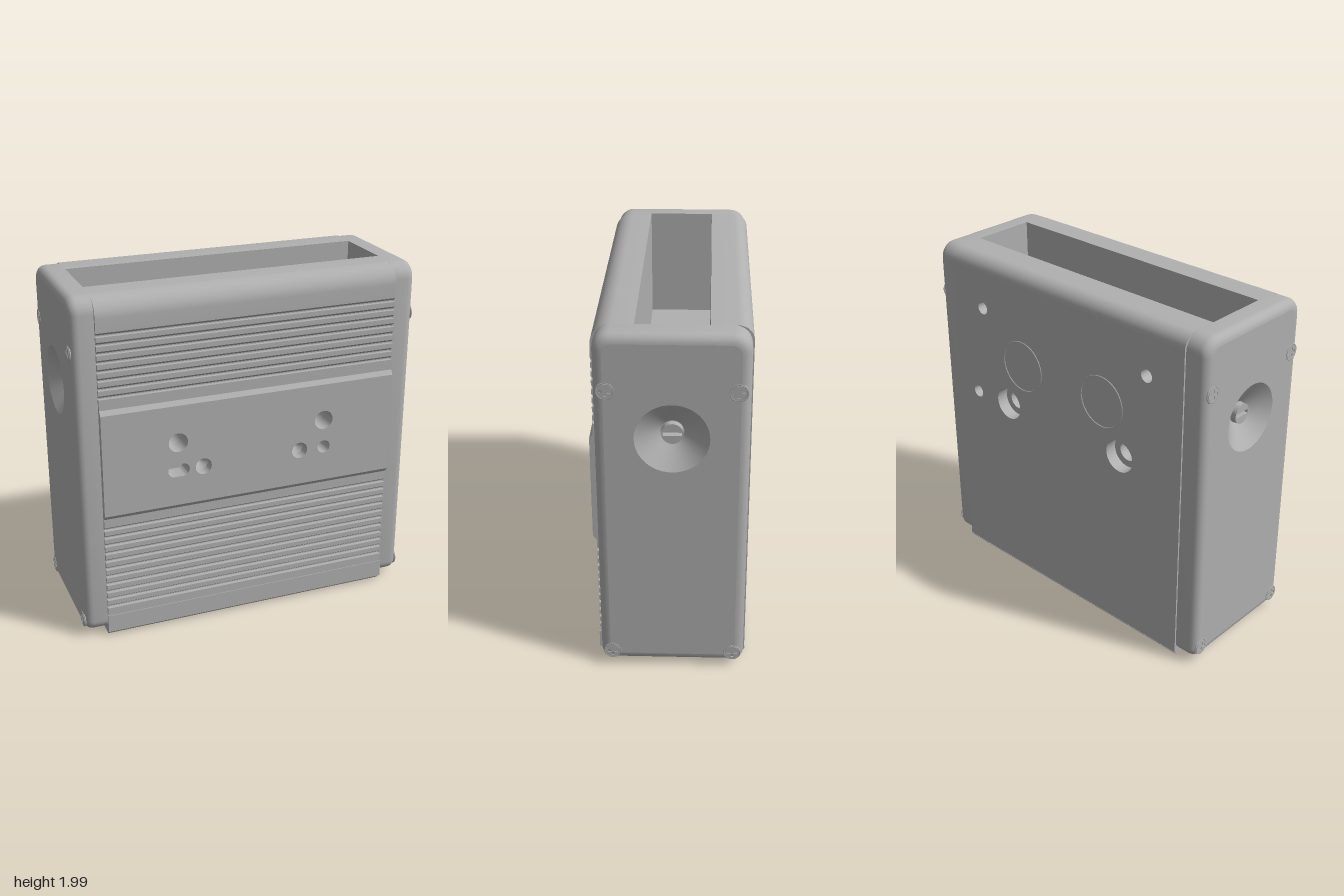
import * as THREE from 'three';
import { toCreasedNormals } from 'three/addons/utils/BufferGeometryUtils.js';

const grey = new THREE.MeshStandardMaterial({ color: 0xb0b0b0, side: THREE.DoubleSide });
grey.name = 'grey';

const HALF = 0.862; // half width of the centre block

function add(parent, name, geometry) {
  const mesh = new THREE.Mesh(geometry, grey);
  mesh.name = name;
  parent.add(mesh);
  return mesh;
}

const polygon = (points) => new THREE.Shape(points.map(([x, y]) => new THREE.Vector2(x, y)));
const rect = (x0, y0, x1, y1) => polygon([[x0, y0], [x1, y0], [x1, y1], [x0, y1]]);
const circle = (x, y, r) => new THREE.Path().absarc(x, y, r, 0, Math.PI * 2);

function extrude(shape, depth) {
  return toCreasedNormals(
    new THREE.ExtrudeGeometry(shape, { depth, bevelEnabled: false, curveSegments: 18 }), 0.5);
}

// Profile of [z, y] points swept across the width
function acrossX(points) {
  return extrude(polygon(points.map(([z, y]) => [-z, y])), HALF * 2)
    .rotateY(Math.PI / 2).translate(-HALF, 0, 0);
}

// Outline in x, y with holes, running from z0 to z1
function alongZ(shape, holes, z0, z1) {
  shape.holes.push(...holes);
  return extrude(shape, z1 - z0).translate(0, 0, z0);
}

function arc(cz, cy, r, a0, a1, n = 10) {
  return Array.from({ length: n + 1 }, (_, i) => {
    const a = a0 + (a1 - a0) * i / n;
    return [cz + r * Math.cos(a), cy + r * Math.sin(a)];
  });
}

// Horizontal louvre grooves, listed upward
function grooves(first, count) {
  const points = [];
  for (let i = 0; i < count; i++) {
    const y = first + i * 0.0488;
    points.push([0.39, y - 0.01], [0.368, y - 0.01], [0.368, y - 0.004], [0.39, y + 0.012]);
  }
  return points;
}

// Rounded outline of a side cover, drawn in by an inset
function coverOutline(inset) {
  const w = 0.389 - inset, y0 = 0.035 + inset, y1 = 1.99 - inset;
  const rt = 0.09 - inset * 0.8, rb = 0.06 - inset * 0.8;
  const q = Math.PI / 2;
  return [
    ...arc(w - rb, y0 + rb, rb, -q, 0, 6), ...arc(w - rt, y1 - rt, rt, 0, q, 6),
    ...arc(-w + rt, y1 - rt, rt, q, 2 * q, 6), ...arc(-w + rb, y0 + rb, rb, 2 * q, 3 * q, 6),
  ];
}

// Side cover with a rounded outer edge, a conical dimple and screws; it faces +z before turning
function sideCover() {
  const cover = new THREE.Group();
  const outer = 0.992, round = 0.05, dimpleY = 1.43;
  const stations = [[0.86, 0]];
  for (let i = 0; i <= 6; i++) {
    const a = i / 6 * Math.PI / 2;
    stations.push([outer - round + round * Math.sin(a), round * (1 - Math.cos(a))]);
  }
  const rings = stations.map(([d, inset]) => coverOutline(inset).map(([u, y]) => [u, y, d]));
  const position = [];
  for (let k = 0; k < rings.length - 1; k++) {
    const n = rings[k].length;
    for (let i = 0; i < n; i++) {
      const j = (i + 1) % n;
      const [a, b, c, d] = [rings[k][i], rings[k][j], rings[k + 1][j], rings[k + 1][i]];
      position.push(...a, ...b, ...c, ...a, ...c, ...d);
    }
  }
  const shell = new THREE.BufferGeometry();
  shell.setAttribute('position', new THREE.Float32BufferAttribute(position, 3));
  add(cover, 'coverEdge', toCreasedNormals(shell, 0.6));

  const face = polygon(coverOutline(round));
  face.holes.push(circle(0, dimpleY, 0.19));
  add(cover, 'coverFace', new THREE.ShapeGeometry(face, 24).translate(0, 0, outer));
  add(cover, 'coverInside',
    new THREE.ShapeGeometry(polygon(coverOutline(0).reverse())).rotateY(Math.PI).translate(0, 0, 0.86));

  // Dimple with a slotted screw
  add(cover, 'dimple', new THREE.CylinderGeometry(0.19, 0.06, 0.09, 48, 1, true)
    .rotateX(Math.PI / 2).translate(0, dimpleY, outer - 0.045));
  add(cover, 'dimpleFloor', new THREE.CircleGeometry(0.062, 32).translate(0, dimpleY, outer - 0.09));
  const slotted = new THREE.Shape().absarc(0, 0, 0.056, 0, Math.PI * 2);
  slotted.holes.push(rect(-0.048, -0.011, 0.048, 0.011));
  add(cover, 'slottedScrew', extrude(slotted, 0.035).translate(0, dimpleY, outer - 0.09));

  // Cross-head screws at the corners
  const a = 0.008, b = 0.028;
  const crossHead = new THREE.Shape().absarc(0, 0, 0.04, 0, Math.PI * 2);
  crossHead.holes.push(polygon([[a, a], [b, a], [b, -a], [a, -a], [a, -b], [-a, -b],
    [-a, -a], [-b, -a], [-b, a], [-a, a], [-a, b], [a, b]]));
  for (const u of [-0.327, 0.327]) {
    for (const y of [0.1, 1.69]) {
      add(cover, 'coverScrew', extrude(crossHead, 0.06).translate(u, y, outer - 0.057));
      add(cover, 'screwRim', new THREE.TorusGeometry(0.044, 0.005, 6, 28).translate(u, y, outer - 0.003));
    }
  }
  return cover;
}

export function createModel() {
  const model = new THREE.Group();
  model.name = 'enclosure';
  const body = new THREE.Group();
  body.name = 'body';
  body.rotation.y = 0.017;
  model.add(body);

  // Lower block with louvres
  add(body, 'lowerBlock', acrossX([[-0.345, 0.028], [0.39, 0.028], ...grooves(0.188, 11),
    [0.39, 0.74], [0.41, 0.765], [-0.345, 0.765]]));

  // Upper front wall with louvres and rounded top edge
  add(body, 'upperFrontWall', acrossX([[0.17, 1.355], [0.41, 1.355], [0.39, 1.38], ...grooves(1.45, 8),
    ...arc(0.28, 1.88, 0.11, 0, Math.PI / 2), [0.17, 1.99]]));

  // Upper back wall with rounded top edge
  add(body, 'upperBackWall', acrossX([[-0.345, 1.355], [-0.2, 1.355], [-0.2, 1.99],
    ...arc(-0.335, 1.91, 0.08, Math.PI / 2, Math.PI), [-0.345, 1.91]]));

  // Middle core, front panel and back plate with their holes
  const through = () => [circle(-0.435, 1.14, 0.055), circle(0.435, 1.14, 0.055)];
  add(body, 'core', alongZ(rect(-HALF, 0.765, HALF, 1.355), through(), -0.345, 0.3));

  const slot = new THREE.Path();
  slot.absarc(-0.41, 0.975, 0.038, -Math.PI / 2, Math.PI / 2);
  slot.absarc(-0.458, 0.975, 0.038, Math.PI / 2, Math.PI * 1.5);
  slot.closePath();
  add(body, 'frontPanel', alongZ(rect(-HALF, 0.765, HALF, 1.355), [...through(), slot,
    circle(-0.29, 0.975, 0.047), circle(0.29, 0.975, 0.047), circle(0.44, 0.975, 0.038)], 0.3, 0.41));
  for (const x of [-0.29, 0.29]) {
    add(body, 'holeBottom', new THREE.CylinderGeometry(0.047, 0.002, 0.04, 28, 1, true)
      .rotateX(Math.PI / 2).translate(x, 0.975, 0.33));
  }

  add(body, 'backPlate', alongZ(rect(-HALF, 0.028, HALF, 1.91), [
    circle(-0.435, 1.14, 0.095), circle(0.435, 1.14, 0.095),
    circle(0.62, 1.69, 0.037), circle(-0.62, 1.69, 0.037), circle(0.7, 1.13, 0.037)], -0.415, -0.345));
  for (const x of [-0.305, 0.305]) {
    add(body, 'backRing', new THREE.TorusGeometry(0.15, 0.004, 6, 48).translate(x, 1.425, -0.415));
  }

  // Foot strip along the lower front
  add(body, 'footStrip', new THREE.BoxGeometry(1.73, 0.105, 0.012).translate(0, 0.0775, 0.388));

  // Two bottom rails with screw holes and sloped edges
  for (const [z0, z1, hz] of [[0.15, 0.365, 0.28], [-0.395, -0.17, -0.27]]) {
    const plate = rect(-HALF, -z1, HALF, -z0);
    plate.holes.push(...[-0.32, 0, 0.32].map((x) => circle(x, -hz, x ? 0.045 : 0.035)));
    add(body, 'bottomRail', extrude(plate, 0.028).rotateX(-Math.PI / 2));
    add(body, 'railEdge', acrossX([[z1, 0], [z1 + 0.022, 0.028], [z1, 0.028]]));
    add(body, 'railEdge', acrossX([[z0, 0], [z0, 0.028], [z0 - 0.022, 0.028]]));
  }

  // Side covers
  for (const side of [1, -1]) {
    const cover = sideCover();
    cover.name = side > 0 ? 'leftCover' : 'rightCover';
    cover.position.z = -0.0165;
    cover.rotation.y = side * Math.PI / 2;
    body.add(cover);
  }
  return model;
}
